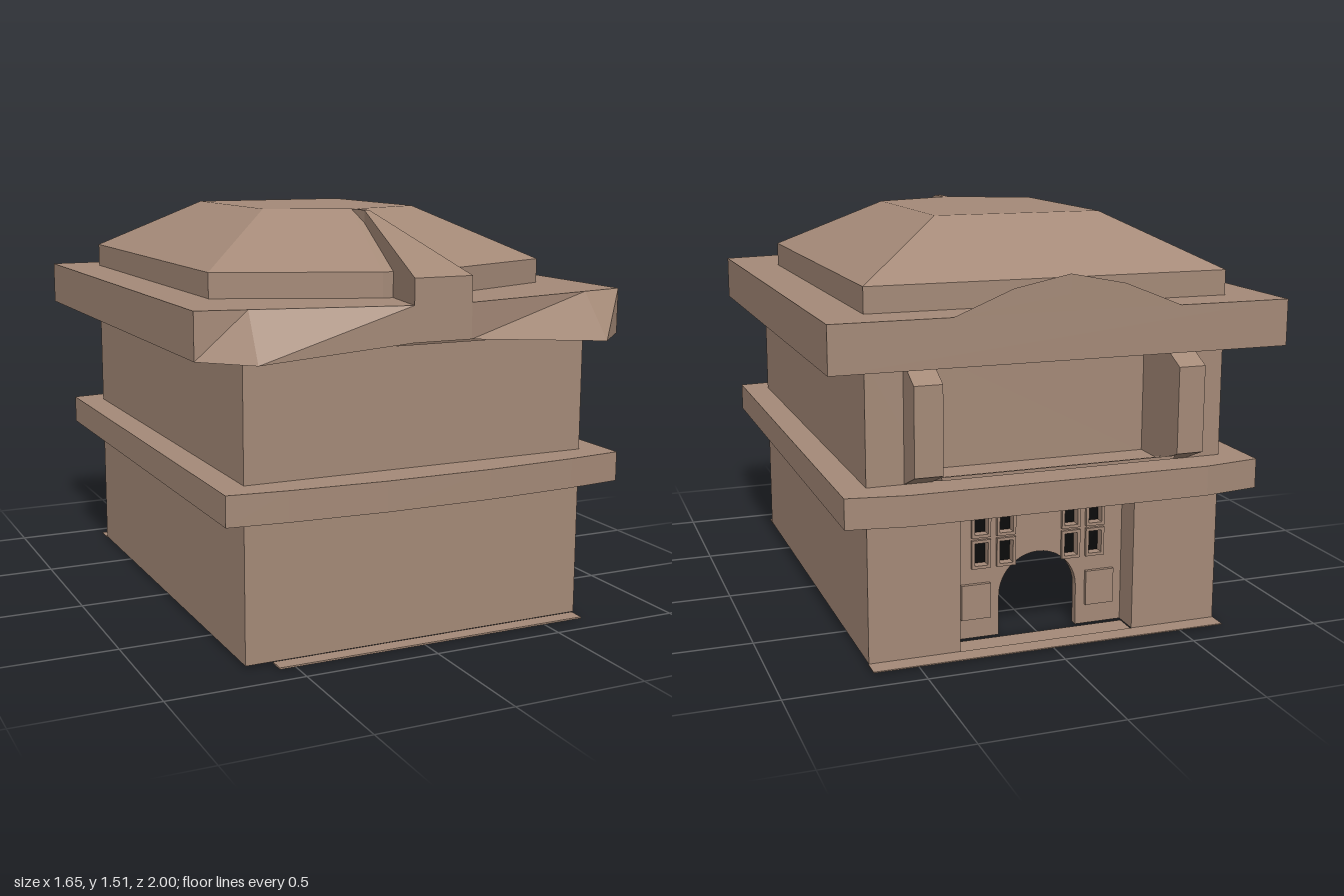
import * as THREE from 'three';

const clay = new THREE.MeshStandardMaterial({ color: 0xa58a78, flatShading: true, side: THREE.DoubleSide });
const dark = new THREE.MeshStandardMaterial({ color: 0x0a0a0a, flatShading: true, side: THREE.DoubleSide });

function addMesh(parent, name, geometry, material = clay) {
  const mesh = new THREE.Mesh(geometry, material);
  mesh.name = name;
  parent.add(mesh);
  return mesh;
}

// Skin a list of equal-length rings of [x, y, z]; ends are capped by fans
function loft(rings, caps = true) {
  const pos = [];
  const tri = (a, b, c) => pos.push(...a, ...b, ...c);
  const n = rings[0].length;
  for (let r = 0; r < rings.length - 1; r++) {
    for (let i = 0; i < n; i++) {
      const j = (i + 1) % n, a = rings[r], b = rings[r + 1];
      tri(a[i], a[j], b[j]);
      tri(a[i], b[j], b[i]);
    }
  }
  const cap = (ring, flip) => {
    const c = [0, 1, 2].map(k => ring.reduce((s, p) => s + p[k], 0) / n);
    ring.forEach((p, i) => {
      const q = ring[(i + 1) % n];
      flip ? tri(c, q, p) : tri(c, p, q);
    });
  };
  if (caps) {
    cap(rings[0], true);
    cap(rings[rings.length - 1], false);
  }
  return build(pos);
}

function build(pos) {
  const g = new THREE.BufferGeometry();
  g.setAttribute('position', new THREE.Float32BufferAttribute(pos, 3));
  g.computeVertexNormals();
  return g;
}

// Upright wall sheet following an open plan path of [x, z]
function wall(path, y0, y1) {
  const pos = [];
  for (let i = 0; i < path.length - 1; i++) {
    const [ax, az] = path[i], [bx, bz] = path[i + 1];
    pos.push(ax, y0, az, bx, y1, bz, bx, y0, bz, ax, y0, az, ax, y1, az, bx, y1, bz);
  }
  return build(pos);
}

// Plan ring symmetric in x, given its +x half from front to back
function plan(half, y) {
  const at = p => (p[2] === undefined ? y : p[2]);
  return [
    ...half.map(p => [p[0], at(p), p[1]]),
    ...half.slice().reverse().map(p => [-p[0], at(p), p[1]]),
  ];
}

function box(parent, name, w, h, d, x, y, z, material) {
  addMesh(parent, name, new THREE.BoxGeometry(w, h, d), material).position.set(x, y, z);
}

const W = 0.663, FRONT = 0.855, BACK = -0.838;

function storeyPath(half, inner) {
  return [[half, inner], [half, BACK], [W, BACK], [W, FRONT],
    [-W, FRONT], [-W, BACK], [-half, BACK], [-half, inner]];
}

function rectPath(x, y, w, h) {
  return new THREE.Path([[0, 0], [0, h], [w, h], [w, 0]].map(([a, b]) => new THREE.Vector2(x + a, y + b)));
}

function createEntrance() {
  const g = new THREE.Group();
  g.name = 'entrance';
  const z = -0.735;
  // Recessed wall with an arched doorway open at the bottom
  const s = new THREE.Shape();
  s.moveTo(-0.33, 0.01);
  s.lineTo(-0.15, 0.01);
  s.lineTo(-0.15, 0.16);
  s.absarc(0, 0.16, 0.15, Math.PI, 0, true);
  s.lineTo(0.15, 0.01);
  s.lineTo(0.33, 0.01);
  s.lineTo(0.33, 0.55);
  s.lineTo(-0.33, 0.55);
  s.closePath();
  const windows = [];
  for (const x of [-0.22, -0.125, 0.125, 0.22])
    for (const y of [0.325, 0.44]) windows.push([x, y]);
  for (const [x, y] of windows) s.holes.push(rectPath(x - 0.025, y - 0.042, 0.05, 0.084));
  addMesh(g, 'entranceWall', new THREE.ExtrudeGeometry(s, { depth: 0.03, bevelEnabled: false, curveSegments: 10 }))
    .position.z = z;
  // Panes and frames
  for (const [x, y] of windows) {
    box(g, 'windowPane', 0.05, 0.084, 0.004, x, y, z + 0.025, dark);
    const frame = new THREE.Shape([[-0.036, -0.053], [0.036, -0.053], [0.036, 0.053], [-0.036, 0.053]]
      .map(p => new THREE.Vector2(...p)));
    frame.holes.push(rectPath(-0.025, -0.042, 0.05, 0.084));
    addMesh(g, 'windowFrame', new THREE.ExtrudeGeometry(frame, { depth: 0.012, bevelEnabled: false }))
      .position.set(x, y, z - 0.012);
  }
  for (const side of [-1, 1]) box(g, 'wallPanel', 0.11, 0.13, 0.016, side * 0.24, 0.15, z - 0.006);
  return g;
}

export function createModel() {
  const model = new THREE.Group();
  model.name = 'house';

  // Hollow storeys, each with a recess at the back
  addMesh(model, 'lowerWalls', wall(storeyPath(0.33, -0.735), 0.01, 0.54));
  addMesh(model, 'upperWalls', wall([...storeyPath(0.43, -0.68), [0.43, -0.68]], 0.63, 1.07));
  model.add(createEntrance());

  // Ground lips
  box(model, 'frontLip', 1.22, 0.006, 0.06, 0.05, 0.004, 0.88);
  box(model, 'backLip', 1.33, 0.004, 0.07, 0, 0.008, -0.873);
  box(model, 'doorSill', 0.71, 0.006, 0.09, 0.025, 0.003, -0.79);

  // Floor band: a ring with a gently bowed front
  const band = [[0.2, 0.993], [0.55, 0.973], [0.763, 0.95], [0.763, -0.935], [0.55, -0.968]];
  const inner = band.map(([x, z]) => [x * 0.74, z * 0.62]);
  addMesh(model, 'floorBand', loft([plan(inner, 0.53), plan(band, 0.53), plan(band, 0.638),
    plan(inner, 0.638), plan(inner, 0.53)], false));

  // Balcony piers with chamfered ends, and the sloping sill between them
  const pier = new THREE.Shape([[-0.68, 0.638], [BACK, 0.638], [-0.96, 0.69], [-0.96, 1.0], [BACK, 1.06], [-0.68, 1.06]]
    .map(p => new THREE.Vector2(-p[0], p[1])));
  const pierGeometry = new THREE.ExtrudeGeometry(pier, { depth: 0.1, bevelEnabled: false });
  pierGeometry.rotateY(Math.PI / 2);
  for (const x of [-0.53, 0.43]) addMesh(model, 'balconyPier', pierGeometry).position.x = x;
  const sill = (z, y) => [[-0.43, y + 0.012, z], [0.43, y + 0.012, z], [0.43, y, z], [-0.43, y, z]];
  addMesh(model, 'balconySill', loft([sill(BACK, 0.64), sill(-0.94, 0.668)]));

  // Eaves with a front fascia that leans outward at the bottom
  const tail = [[0.823, 0.84], [0.823, -1]];
  addMesh(model, 'eaves', loft([
    plan([[0.11, 1, 1.1], [0.665, 1], ...tail], 1.06),
    plan([[0.11, 1], [0.65, 0.878], ...tail], 1.225),
  ]));

  // Hipped roof on a low upright base
  const base = [[0.11, 0.77], [0.663, 0.54], [0.663, -0.84]];
  addMesh(model, 'hipRoof', loft([
    plan(base, 1.22),
    plan(base, 1.315),
    plan([[0.01, 0.31], [0.313, 0.18], [0.313, -0.51]], 1.507),
  ]));

  // Tapering ridge running down to the front
  const section = (x, y, z) => [[-x, y, z], [x, y, z], [x, 1.2, z], [-x, 1.2, z]];
  addMesh(model, 'frontRidge', loft([section(0.11, 1.315, 1), section(0.01, 1.507, 0.42), section(0.01, 1.507, 0.3)]));

  // Curved gable rising from the back eave
  const gable = (z, w, h) => [[-0.41, 0], [-0.2, 0.085], [0, 0.125], [0.2, 0.085], [0.41, 0]]
    .map(([x, y]) => [x * w, 1.224 + y * h, z]);
  addMesh(model, 'backGable', loft([gable(-0.84, 0.8, 0), gable(-1, 1, 1)]));

  return model;
}
